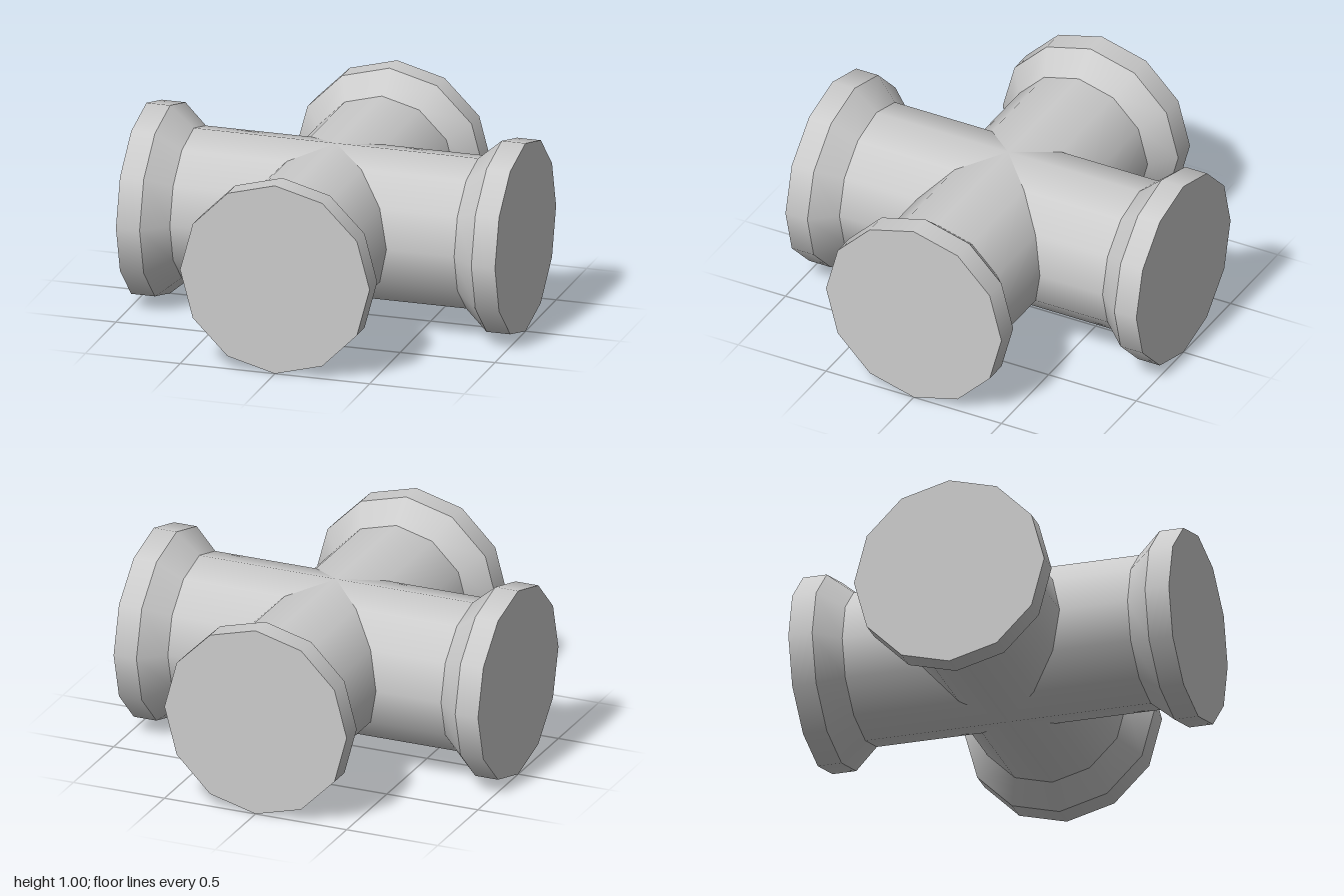
import * as THREE from 'three';

const SIDES = 12;
const PIPE_R = 0.393, RIM_R = 0.5;
const PIPE_END = 0.75, RIM_START = 0.875, RIM_END = 1;

const material = new THREE.MeshStandardMaterial({ color: 0xcccccc });

// Open smooth band along +z, from z0 (radius r0) to z1 (radius r1)
function band(r0, r1, z0, z1) {
  return new THREE.CylinderGeometry(r1, r0, z1 - z0, SIDES, 1, true)
    .rotateX(Math.PI / 2)
    .translate(0, 0, (z0 + z1) / 2);
}

// Straight pipe whose inner end is mitred at 45 degrees to meet its neighbours
function mitredPipe() {
  const geometry = band(PIPE_R, PIPE_R, 0, PIPE_END);
  const pos = geometry.attributes.position;
  for (let i = 0; i < pos.count; i++) {
    if (pos.getZ(i) < PIPE_END / 2) pos.setZ(i, Math.abs(pos.getX(i)));
  }
  return geometry;
}

function createArm(name) {
  const arm = new THREE.Group();
  arm.name = name;
  const parts = {
    pipe: mitredPipe(),
    flare: band(PIPE_R, RIM_R, PIPE_END, RIM_START),
    rim: band(RIM_R, RIM_R, RIM_START, RIM_END),
    endCap: new THREE.CircleGeometry(RIM_R, SIDES).translate(0, 0, RIM_END),
  };
  for (const [partName, geometry] of Object.entries(parts)) {
    const mesh = new THREE.Mesh(geometry, material);
    mesh.name = partName;
    arm.add(mesh);
  }
  return arm;
}

export function createModel() {
  const model = new THREE.Group();
  model.name = 'pipeCross';
  // Four identical arms around the vertical axis
  ['frontArm', 'leftArm', 'backArm', 'rightArm'].forEach((name, i) => {
    const arm = createArm(name);
    arm.rotation.y = i * Math.PI / 2;
    arm.position.y = RIM_R;
    model.add(arm);
  });
  return model;
}
